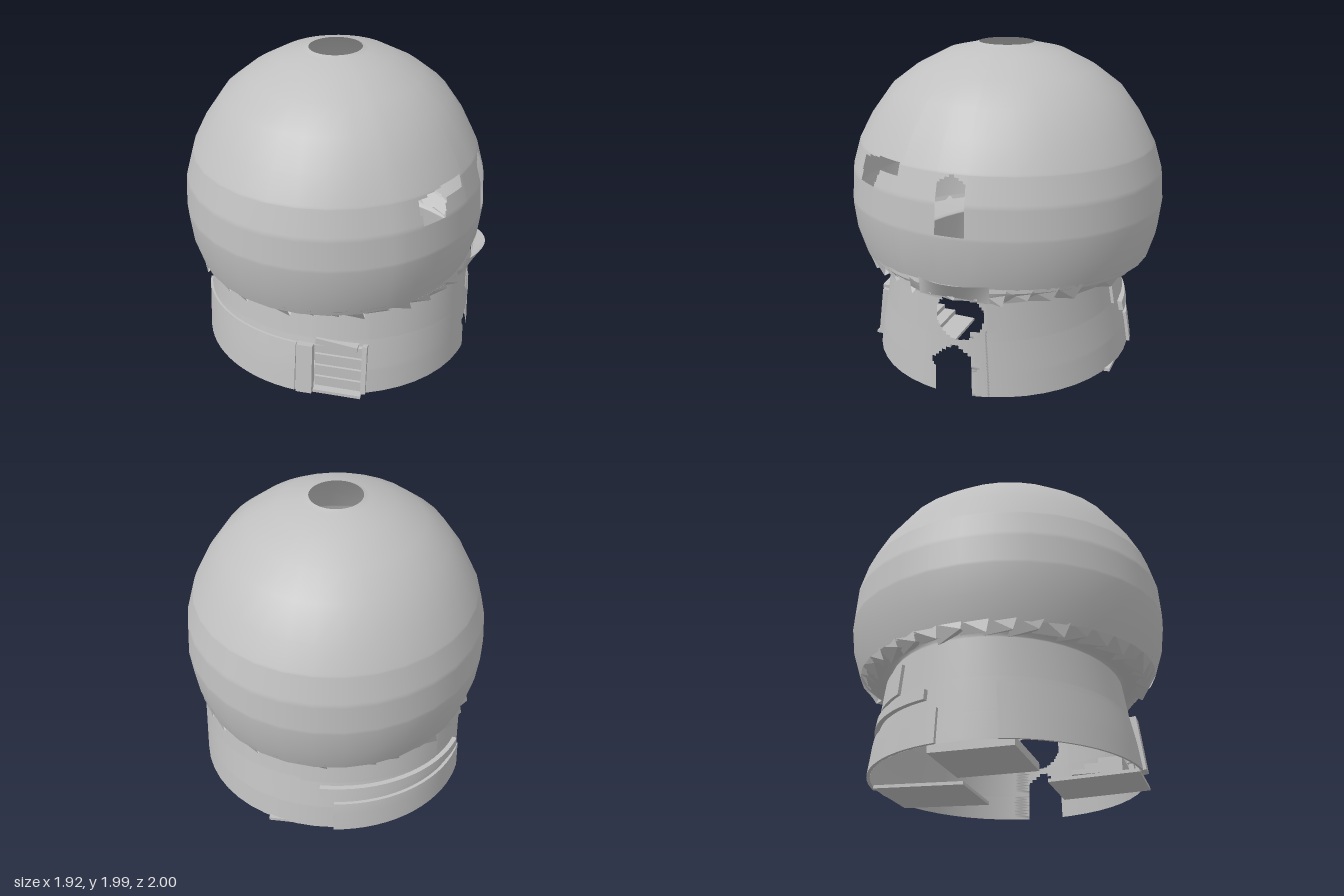
import * as THREE from 'three';

const clay = new THREE.MeshStandardMaterial({ color: 0xc0c0c0, side: THREE.DoubleSide });
clay.name = 'grey clay';
const RAD = Math.PI / 180;

// piecewise-linear lookup in rows of [y, a, b, ...]
function sample(rows, y) {
  let i = 0;
  while (i < rows.length - 2 && y > rows[i + 1][0]) i++;
  const [p, q] = [rows[i], rows[i + 1]];
  const t = (y - p[0]) / (q[0] - p[0]);
  return p.map((v, k) => v + (q[k] - v) * t);
}

// evenly spaced cuts, refined inside the given ranges
function cuts(base, fine) {
  const all = new Set(base.map(v => +v.toFixed(4)));
  for (const [from, to, n] of fine)
    for (let i = 0; i <= n; i++) all.add(+(from + (to - from) * i / n).toFixed(4));
  return [...all].sort((a, b) => a - b);
}

// sheet over angle (degrees) and height; cells whose centre is in a hole are left out
function sheet(point, angles, heights, isHole = () => false, closed = false) {
  const pos = [], index = [], n = angles.length, cols = closed ? n : n - 1;
  for (const y of heights) for (const a of angles) pos.push(...point(a * RAD, y));
  for (let j = 0; j < heights.length - 1; j++) {
    for (let i = 0; i < cols; i++) {
      const next = (i + 1) % n, endA = i + 1 < n ? angles[i + 1] : angles[0] + 360;
      const mid = point((angles[i] + endA) / 2 * RAD, (heights[j] + heights[j + 1]) / 2);
      if (isHole(...mid)) continue;
      const a = j * n + i, b = j * n + next, c = a + n, d = b + n;
      index.push(a, c, b, b, c, d);
    }
  }
  const g = new THREE.BufferGeometry();
  g.setAttribute('position', new THREE.Float32BufferAttribute(pos, 3));
  g.setIndex(index);
  g.computeVertexNormals();
  return g;
}

function inside(poly, u, v) {
  let hit = false;
  for (let i = 0, j = poly.length - 1; i < poly.length; j = i++) {
    const [a, b] = poly[i], [c, d] = poly[j];
    if ((b > v) !== (d > v) && u < (c - a) * (v - b) / (d - b) + a) hit = !hit;
  }
  return hit;
}

const range = (from, to, n) => Array.from({ length: n + 1 }, (_, i) => from + (to - from) * i / n);

export function createModel() {
  const model = new THREE.Group();
  const add = (name, geometry, x = 0, y = 0, z = 0) => {
    const m = new THREE.Mesh(geometry, clay);
    m.name = name;
    m.position.set(x, y, z);
    model.add(m);
    return m;
  };
  const box = (name, w, h, d, x, y, z) => add(name, new THREE.BoxGeometry(w, h, d), x, y, z);

  // dome with a smoke hole, a pointed window and a stepped window
  const domeRows = [[0.70, 0.93], [0.86, 0.98], [1.03, 1], [1.23, 0.985], [1.4, 0.935], [1.56, 0.85],
    [1.73, 0.725], [1.85, 0.565], [1.95, 0.37], [1.985, 0.21], [2.0, 0.172]];
  const domePoint = (a, y) => {
    const r = sample(domeRows, y)[1];
    return [-0.025 + 0.945 * r * Math.cos(a), y, r * Math.sin(a)];
  };
  const pointed = [[-0.095, 1.05], [0.085, 1.05], [0.08, 1.35], [0, 1.395], [-0.085, 1.35]];
  const stepped = [[0.69, 1.23], [0.55, 1.23], [0.5, 1.34], [0.36, 1.34], [0.35, 1.41], [0.5, 1.41], [0.66, 1.38]];
  const domeHole = (x, y, z) => x > 0 && (inside(pointed, z, y) || inside(stepped, z, y));
  add('dome', sheet(domePoint,
    cuts(range(0, 348.75, 31), [[-6, 6, 14], [20, 52, 32]]),
    cuts(domeRows.map(p => p[0]), [[1.05, 1.41, 24]]), domeHole, true));

  // low flared wall with side door, round opening and front door
  const wallRows = [[0.04, 0.88, 0.82], [0.2, 0.875, 0.795], [0.4, 0.87, 0.75], [0.64, 0.865, 0.71], [0.71, 0.88, 0.9]];
  const wallPoint = (a, y, out = 0) => {
    const [, rx, rz] = sample(wallRows, y);
    return [(rx + out) * Math.cos(a), y, (rz + out) * Math.sin(a)];
  };
  const sideDoor = [[-0.13, 0], [0.13, 0], [0.13, 0.2], [0.16, 0.24], [0, 0.37], [-0.16, 0.24], [-0.13, 0.2]];
  const wallHole = (x, y, z) =>
    (x > 0 && (inside(sideDoor, z, y) || Math.hypot(z + 0.03, y - 0.54) < 0.145)) ||
    (z > 0 && x > 0.02 && x < 0.32 && y < 0.36);
  add('wall', sheet((a, y) => wallPoint(a, y),
    cuts(range(0, 352.5, 47), [[-15, 15, 30], [66, 90, 24]]),
    cuts(wallRows.map(p => p[0]), [[0.04, 0.71, 34]]), wallHole, true));

  // curved panels standing just proud of the wall
  const panel = (name, a0, a1, y0, y1, out) => {
    const outer = (a, y) => wallPoint(a, y, out);
    add(name, sheet(outer, range(a0, a1, 16), range(y0, y1, 5)));
    for (const y of [y0, y1])
      add(name + 'Edge', sheet((a, t) => wallPoint(a, y, out * t), range(a0, a1, 16), [0, 1]));
    for (const a of [a0, a1])
      add(name + 'End', sheet((t, y) => wallPoint(a * RAD, y, out * t / RAD), [0, 1], range(y0, y1, 5)));
  };
  panel('frontPanel', 96, 166, 0.04, 0.36, 0.014);
  panel('lowerBackPanel', 190, 262, 0.04, 0.24, 0.02);
  panel('middleBackPanel', 196, 268, 0.3, 0.36, 0.03);
  panel('upperBackPanel', 214, 276, 0.4, 0.58, 0.02);

  // ragged eave: overlapping flaps curling in under the dome
  const flaps = 38, pos = [];
  for (let i = 0; i < flaps; i++) {
    const a0 = i / flaps * Math.PI * 2, a1 = (i + 1.15) / flaps * Math.PI * 2;
    const jag = 0.02 * Math.sin(i * 2.4);
    const at = (a, rx, rz, y) => [-0.02 + rx * Math.cos(a), y, rz * Math.sin(a)];
    const tl = at(a0, 0.885, 0.938, 0.73), tr = at(a1, 0.885, 0.938, 0.73);
    const bl = at(a0, 0.9, 0.87, 0.645 + jag), br = at(a1, 0.85, 0.8, 0.635 - jag);
    const inner = at(a0, 0.82, 0.77, 0.67);
    pos.push(...tl, ...tr, ...bl, ...tr, ...br, ...bl, ...bl, ...br, ...inner);
  }
  const eave = new THREE.BufferGeometry();
  eave.setAttribute('position', new THREE.Float32BufferAttribute(pos, 3));
  eave.computeVertexNormals();
  add('raggedEave', eave);

  // lip above the side door
  add('sideLip', sheet((a, y) => {
    const s = Math.cos(a * 5.5), r = 0.87 + 0.085 * s * (y - 0.66) / 0.11;
    return [r * Math.cos(a), y - 0.02 * (1 - s), r * Math.sin(a)];
  }, range(-14, 15, 12), [0.66, 0.7, 0.77]));

  // front door: recessed planks between posts
  for (let i = 0; i < 4; i++) box('doorPlank', 0.3, 0.074, 0.03, 0.17, 0.08 + i * 0.08, 0.745 - i * 0.008);
  box('doorPost', 0.1, 0.33, 0.06, -0.03, 0.205, 0.795).rotation.x = -0.13;
  box('doorPost', 0.03, 0.33, 0.07, 0.33, 0.205, 0.725).rotation.x = -0.13;
  const lintel = box('doorLintel', 0.26, 0.04, 0.06, 0.16, 0.375, 0.735);
  lintel.rotation.z = -0.12;

  // sloping entry and back floor plates
  box('entryFloor', 0.42, 0.02, 0.54, 0.11, 0.03, 0.54).rotation.x = -0.035;
  for (let i = 0; i < 3; i++) box('entryStep', 0.4, 0.03, 0.3 - i * 0.08, 0.11, 0.06 + i * 0.03, 0.56 + i * 0.04);
  box('backFloor', 0.5, 0.02, 0.58, 0.05, 0.03, -0.51).rotation.x = 0.035;
  box('sideFloor', 0.5, 0.05, 0.5, -0.47, 0.07, 0);

  // raised inner floor on the right half and its edge beam
  box('loft', 0.66, 0.03, 0.86, -0.365, 0.36, 0);
  box('loftBeam', 0.035, 0.07, 0.9, -0.018, 0.36, 0);

  return model;
}
